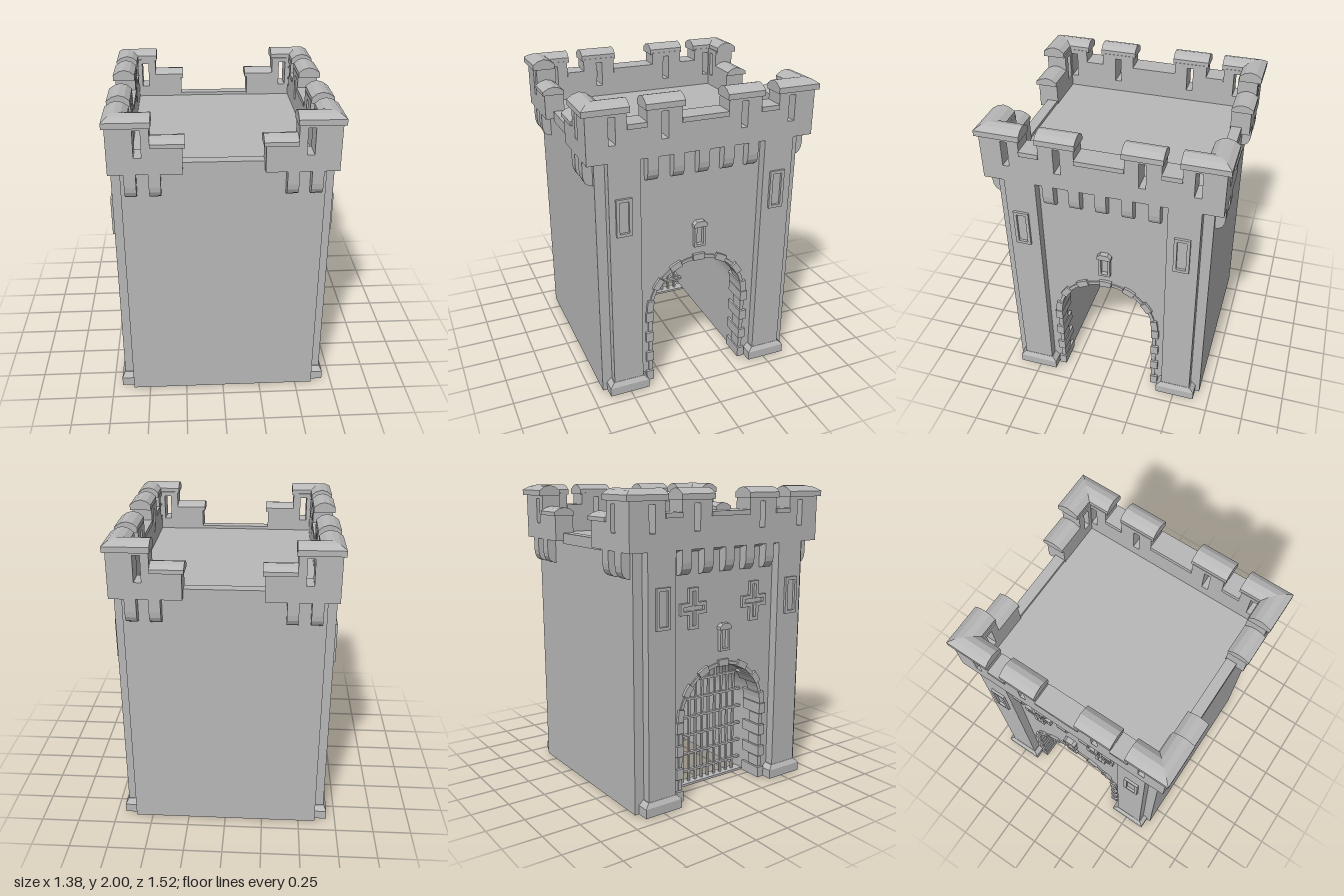
import * as THREE from 'three';

const stone = new THREE.MeshStandardMaterial({ color: 0xb8b8b8 });
stone.name = 'grey stone';

const SPRING = 0.55; // height where the arch starts to curve

export function createModel() {
  const model = new THREE.Group();
  model.name = 'gatehouse';

  const add = (name, geo) => {
    const mesh = new THREE.Mesh(geo, stone);
    mesh.name = name;
    model.add(mesh);
  };
  // Box given by its limits
  const box = (x0, x1, y0, y1, z0, z1) =>
    new THREE.BoxGeometry(x1 - x0, y1 - y0, z1 - z0).translate((x0 + x1) / 2, (y0 + y1) / 2, (z0 + z1) / 2);
  // Copy mirrored across x and/or z, with corners reordered
  const mirrored = (geo, sx, sz) => {
    const g = geo.index ? geo.toNonIndexed() : geo.clone();
    g.scale(sx, 1, sz);
    if (sx * sz < 0) {
      const p = g.attributes.position, a = new THREE.Vector3(), b = new THREE.Vector3();
      for (let i = 0; i < p.count; i += 3) {
        a.fromBufferAttribute(p, i);
        b.fromBufferAttribute(p, i + 2);
        p.setXYZ(i, b.x, b.y, b.z);
        p.setXYZ(i + 2, a.x, a.y, a.z);
      }
    }
    g.computeVertexNormals();
    return g;
  };
  const addSides = (name, geo) => [1, -1].forEach(sx => add(name, mirrored(geo, sx, 1)));
  const addFour = (name, geo) => [1, -1].forEach(sx => [1, -1].forEach(sz => add(name, mirrored(geo, sx, sz))));

  const poly = pts => new THREE.Shape(pts.map(p => new THREE.Vector2(...p)));
  const rect = (x0, x1, y0, y1) => poly([[x0, y0], [x1, y0], [x1, y1], [x0, y1]]);
  const extrude = (shape, depth) =>
    new THREE.ExtrudeGeometry(shape, { depth, bevelEnabled: false, curveSegments: 24 });
  // Shape drawn in (-z, y), extruded from x0 to x1
  const extrudeX = (shape, x0, x1) => extrude(shape, x1 - x0).rotateY(Math.PI / 2).translate(x0, 0, 0);

  // Coping: a domed profile swept through stations [outerX, outerZ, innerX, innerZ]
  const coping = (stations, base, edge, peak) => {
    const mid = edge + (peak - edge) * 0.7;
    const profile = [[0, base], [0, edge], [0.25, mid], [0.52, peak], [0.78, mid], [1, edge], [1, base]];
    const n = profile.length, pos = [], idx = [];
    for (const [ox, oz, ix, iz] of stations)
      for (const [t, y] of profile) pos.push(ox + (ix - ox) * t, y, oz + (iz - oz) * t);
    for (let s = 0; s < stations.length - 1; s++)
      for (let i = 0; i < n; i++) {
        const a = s * n + i, d = s * n + (i + 1) % n, b = a + n, c = d + n;
        idx.push(a, d, c, a, c, b);
      }
    const last = (stations.length - 1) * n;
    for (let i = 1; i < n - 1; i++) idx.push(0, i + 1, i, last, last + i, last + i + 1);
    const g = new THREE.BufferGeometry();
    g.setAttribute('position', new THREE.Float32BufferAttribute(pos, 3));
    g.setIndex(idx);
    return g;
  };

  // Main block with the vaulted passage cut through it
  const block = new THREE.Shape();
  block.moveTo(-0.675, 0.01);
  block.lineTo(-0.335, 0.01);
  block.lineTo(-0.335, SPRING);
  block.absarc(0, SPRING, 0.335, Math.PI, 0, true);
  block.lineTo(0.335, 0.01);
  block.lineTo(0.675, 0.01);
  block.lineTo(0.675, 1.67);
  block.lineTo(-0.675, 1.67);
  add('mainBlock', extrudeX(block, -0.61, 0.61));

  // Corner buttresses with sloped plinths
  addFour('buttress', box(0.59, 0.67, 0.01, 1.65, 0.41, 0.61));
  addFour('plinth', box(0.59, 0.69, 0.01, 0.07, 0.375, 0.645));
  const slope = box(0.59, 0.69, 0.07, 0.1, 0.375, 0.645), sp = slope.attributes.position;
  for (let i = 0; i < sp.count; i++)
    if (sp.getY(i) > 0.09) {
      sp.setZ(i, sp.getZ(i) > 0.5 ? 0.615 : 0.405);
      if (sp.getX(i) > 0.6) sp.setX(i, 0.672);
    }
  addFour('plinthSlope', slope);

  // Side parapets: crenellated wall with arrow slits
  const half = [[0.15, 1.83], [0.15, 1.94], [0.37, 1.94], [0.37, 1.83], [0.49, 1.83], [0.49, 1.94], [0.735, 1.94], [0.735, 1.64]];
  const sideWall = poly([...half, ...half.map(([z, y]) => [-z, y]).reverse()]);
  for (const s of [1, -1])
    for (const z of [0.257, 0.58]) sideWall.holes.push(rect(s * z - 0.021, s * z + 0.021, 1.745, 1.91));
  addSides('sideParapet', extrudeX(sideWall, 0.545, 0.675));
  addSides('lowCoping', box(0.54, 0.683, 1.83, 1.86, -0.15, 0.15));
  addFour('lowCoping', box(0.54, 0.683, 1.83, 1.86, 0.37, 0.49));

  // Front and back parapets step down towards an open middle
  const endWall = poly([[0.24, 1.64], [0.675, 1.64], [0.675, 1.94], [0.425, 1.94], [0.425, 1.81], [0.24, 1.81]]);
  endWall.holes.push(rect(0.475, 0.52, 1.745, 1.91));
  addFour('endParapet', extrude(endWall, 0.13).translate(0, 0, 0.605));
  for (const s of [1, -1]) add('lowSill', mirrored(box(-0.245, 0.245, 1.62, 1.69, 0.61, 0.68), 1, s));

  // Domed caps on the merlons
  addFour('cornerCap', coping([[0.69, 0.475, 0.548, 0.475], [0.69, 0.758, 0.548, 0.612], [0.415, 0.758, 0.415, 0.612]], 1.93, 1.965, 2));
  addFour('merlonCap', coping([[0.69, 0.137, 0.548, 0.137], [0.69, 0.38, 0.548, 0.38]], 1.93, 1.965, 2));
  addFour('stepCap', coping([[0.425, 0.748, 0.425, 0.605], [0.225, 0.748, 0.225, 0.605]], 1.805, 1.83, 1.86));

  // Sloped ledge under the side parapets
  addSides('soffit', extrude(poly([[0.6, 1.62], [0.612, 1.62], [0.67, 1.645], [0.6, 1.645]]), 0.82).translate(0, 0, -0.41));

  // Corbels with a rounded foot
  const corbel = extrude(poly([[-0.01, 1.65], [0.06, 1.65], [0.06, 1.56], [0.056, 1.525], [0.044, 1.5], [0.025, 1.485], [-0.01, 1.48]]), 0.07)
    .translate(0, 0, -0.035);
  for (let i = -2; i <= 2; i++) addSides('sideCorbel', corbel.clone().translate(0.61, 0, i * 0.165));
  for (const x of [0.405, 0.548])
    addFour('endCorbel', corbel.clone().rotateY(-Math.PI / 2).translate(x, 0, 0.675));

  // Framed windows
  const frame = (z, y0, y1, w, border, x0, x1) => {
    const s = rect(-z - w, -z + w, y0, y1);
    s.holes.push(rect(-z - w + border, -z + w - border, y0 + border, y1 - border));
    return extrudeX(s, x0, x1);
  };
  addSides('buttressWindow', frame(0.52, 1.165, 1.41, 0.05, 0.02, 0.66, 0.686));
  addSides('buttressWindow', frame(-0.507, 1.175, 1.43, 0.05, 0.02, 0.66, 0.686));
  addSides('gateWindow', frame(0, 0.97, 1.13, 0.038, 0.016, 0.6, 0.637));
  addSides('gateWindowLintel', extrudeX(poly([[-0.046, 1.11], [0.046, 1.11], [0.046, 1.13], [0.025, 1.15], [-0.025, 1.15], [-0.046, 1.13]]), 0.6, 0.645));

  // Cross-shaped arrow loops on one side
  const crossPoints = (w, h, t) => [
    [-t, -h], [t, -h], [t, -t], [w, -t], [w, t], [t, t],
    [t, h], [-t, h], [-t, t], [-w, t], [-w, -t], [-t, -t]];
  for (const z of [-0.245, 0.245]) {
    const cross = poly(crossPoints(0.1, 0.13, 0.037));
    cross.holes.push(poly(crossPoints(0.078, 0.108, 0.014)));
    add('crossLoop', extrudeX(cross, -0.63, -0.6).translate(0, 1.27, z));
  }

  // Arch stones, alternately long and short
  const COUNT = 13;
  for (let i = 0; i < COUNT; i++) {
    const long = i % 2 === 0;
    const a0 = (i + 0.02) / COUNT * Math.PI, a1 = (i + 0.98) / COUNT * Math.PI;
    const ri = long ? 0.318 : 0.323, ro = long ? 0.362 : 0.345;
    const at = (r, a) => [r * Math.cos(a), SPRING + r * Math.sin(a)];
    const am = (a0 + a1) / 2;
    const s = poly([at(ri, a0), at(ro, a0), at(ro, am), at(ro, a1), at(ri, a1), at(ri, am)]);
    addSides('archStone', extrudeX(s, long ? 0.46 : 0.51, long ? 0.628 : 0.62));
  }
  const COURSES = 7, step = (SPRING - 0.01) / COURSES;
  for (let i = 0; i < COURSES; i++) {
    const long = i % 2 === 0, y = 0.01 + i * step;
    addFour('jambStone', box(long ? 0.46 : 0.52, long ? 0.628 : 0.62, y + 0.003, y + step - 0.003,
      long ? 0.318 : 0.323, long ? 0.368 : 0.35));
  }

  // Portcullis
  const bar = 0.0075, gx = -0.4, R = 0.333;
  for (let k = -5; k <= 5; k++) {
    const z = k * 0.0545;
    add('portcullisUpright', box(gx - bar, gx + bar, 0, SPRING + Math.sqrt(R * R - z * z), z - bar, z + bar));
  }
  for (const y of [0.095, 0.222, 0.35, 0.477, 0.605, 0.732]) {
    const w = y < SPRING ? R : Math.sqrt(R * R - (y - SPRING) ** 2);
    add('portcullisRail', box(gx - 0.012, gx + 0.012, y - bar, y + bar, -w, w));
  }
  add('portcullisSill', box(gx - 0.035, gx + 0.035, 0, 0.016, -0.335, 0.335));

  return model;
}
